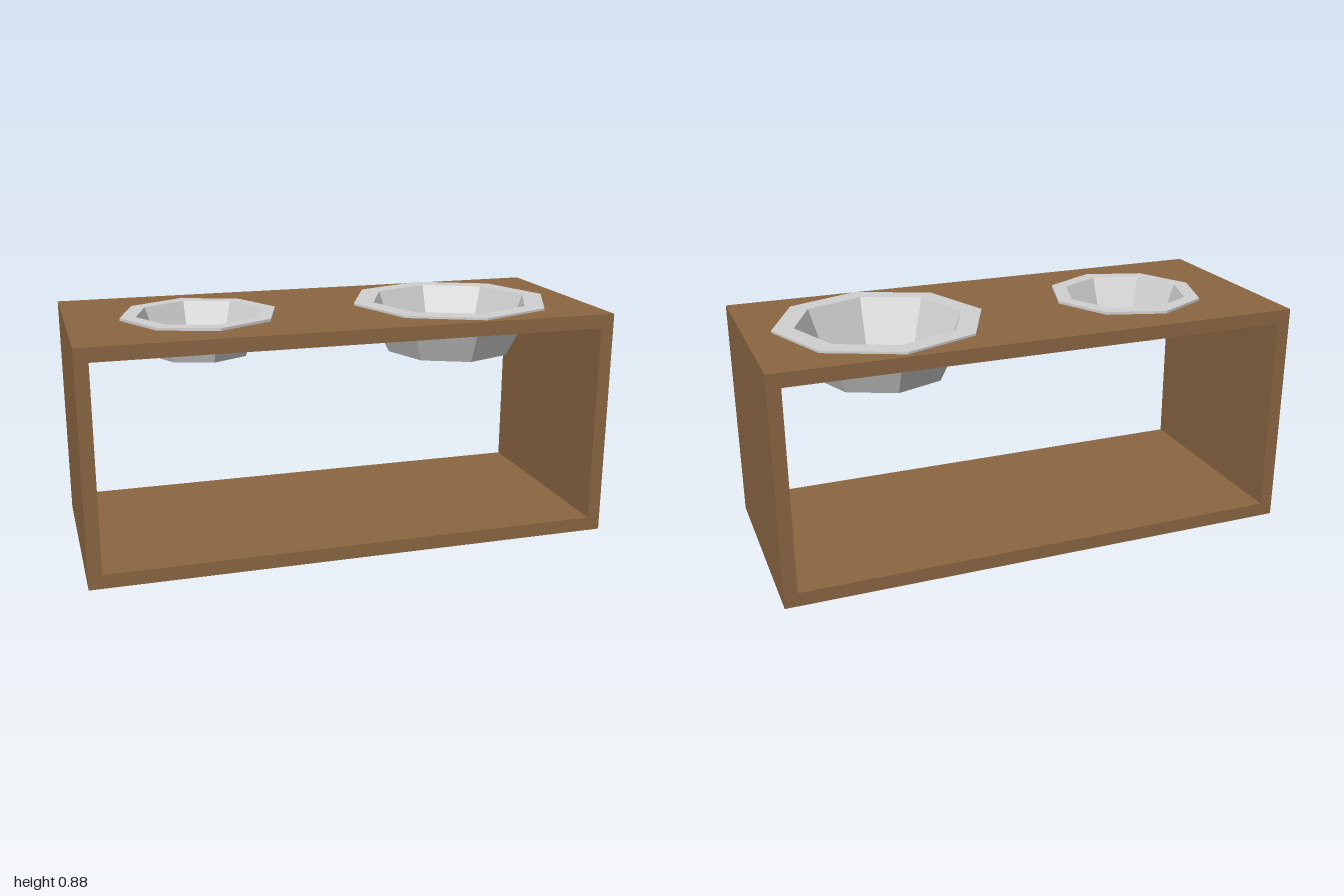
import * as THREE from 'three';

const TOP = 0.873, BOARD = 0.053, DEPTH = 0.84, SIDES = 8;

// Bowl sizes: centre x, turn, rim, opening, outer wall at the board top, foot radius and heights
const BOWLS = [
  { name: 'smallBowl', x: -0.505, turn: 0.09, rim: 0.3, open: 0.24, wall: 0.253, foot: 0.193, floor: 0.187, bottom: 0.733, lip: 0.883 },
  { name: 'largeBowl', x: 0.503, turn: -0.025, rim: 0.397, open: 0.316, wall: 0.345, foot: 0.25, floor: 0.242, bottom: 0.68, lip: 0.881 },
];

export function createModel() {
  const wood = new THREE.MeshStandardMaterial({ color: 0x8b6642 });
  wood.name = 'brown wood';
  const metal = new THREE.MeshStandardMaterial({ color: 0xd0d0d0 });
  metal.name = 'light grey metal';

  const model = new THREE.Group();
  model.name = 'raisedBowlStand';
  const add = (name, geometry, material, x, y) => {
    const mesh = new THREE.Mesh(geometry, material);
    mesh.name = name;
    mesh.position.set(x, y, 0);
    model.add(mesh);
    return mesh;
  };

  // Base board and side boards
  add('baseBoard', new THREE.BoxGeometry(2, BOARD, DEPTH), wood, 0, BOARD / 2);
  for (const [name, s] of [['leftBoard', 1], ['rightBoard', -1]]) {
    add(name, new THREE.BoxGeometry(0.05, TOP - 2 * BOARD, DEPTH), wood, s * 0.975, TOP / 2);
  }

  // Top board with an eight-sided cut-out for each bowl
  const d = DEPTH / 2;
  const outline = new THREE.Shape([[-1, -d], [1, -d], [1, d], [-1, d]].map(([x, y]) => new THREE.Vector2(x, y)));
  for (const b of BOWLS) {
    const corners = [];
    for (let i = 0; i < SIDES; i++) {
      const a = b.turn - (i / SIDES) * Math.PI * 2;
      corners.push(new THREE.Vector2(b.x + b.wall * Math.cos(a), b.wall * Math.sin(a)));
    }
    outline.holes.push(new THREE.Path(corners));
  }
  const board = new THREE.ExtrudeGeometry(outline, { depth: BOARD, bevelEnabled: false });
  board.rotateX(-Math.PI / 2);
  add('topBoard', board, wood, 0, TOP - BOARD);

  // Faceted bowls: outside wall, flat rim, inside wall and floor
  for (const b of BOWLS) {
    const profile = [
      [0, b.bottom], [b.foot, b.bottom], [b.wall, TOP], [b.rim, TOP],
      [b.rim, b.lip], [b.open, b.lip], [b.floor, b.bottom + 0.008], [0, b.bottom + 0.008],
    ].map(([r, y]) => new THREE.Vector2(r, y));
    const geometry = new THREE.LatheGeometry(profile, SIDES).toNonIndexed();
    geometry.computeVertexNormals();
    add(b.name, geometry, metal, b.x, 0).rotation.y = b.turn;
  }
  return model;
}
